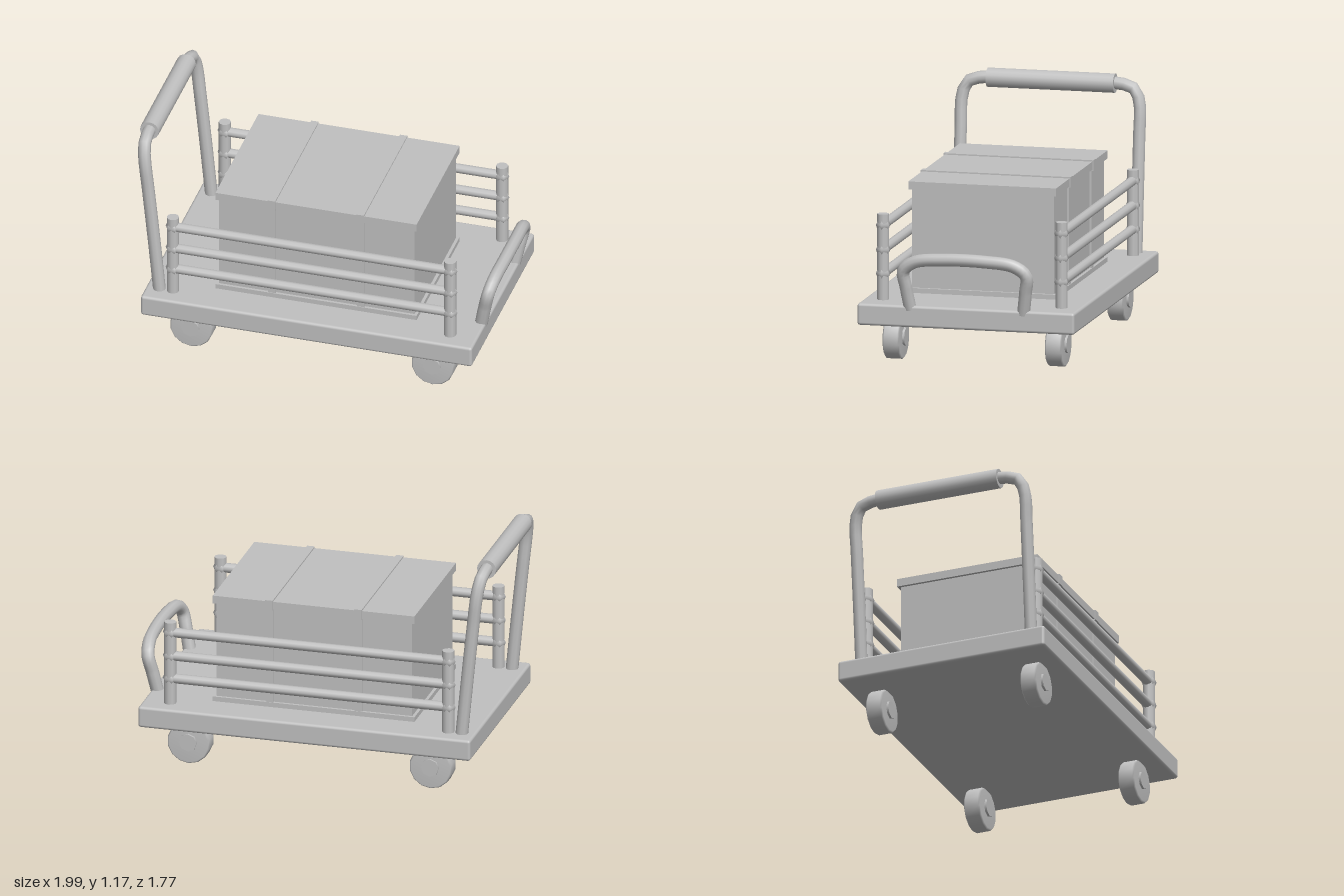
import * as THREE from 'three';
import { RoundedBoxGeometry } from 'three/addons/geometries/RoundedBoxGeometry.js';

export function createModel() {
  const model = new THREE.Group();
  model.name = 'platformTrolley';
  const cart = new THREE.Group();
  cart.name = 'cart';
  cart.rotation.y = THREE.MathUtils.degToRad(-29.5);
  model.add(cart);

  const grey = new THREE.MeshStandardMaterial({ color: 0xc0c0c0 });
  grey.name = 'plain grey';

  const add = (name, geometry, x = 0, y = 0, z = 0) => {
    const mesh = new THREE.Mesh(geometry, grey);
    mesh.name = name;
    mesh.position.set(x, y, z);
    cart.add(mesh);
    return mesh;
  };
  const box = (name, w, y0, y1, d, x = 0) =>
    add(name, new THREE.BoxGeometry(w, y1 - y0, d), x, (y0 + y1) / 2, 0);

  // Half of a bent pipe is given; it is mirrored across z to close the hoop
  const hoop = (name, half, radius) => {
    const pts = half.map(p => new THREE.Vector3(...p));
    const mirrored = pts.slice().reverse().map(p => new THREE.Vector3(p.x, p.y, -p.z));
    const curve = new THREE.CatmullRomCurve3([...pts, ...mirrored], false, 'centripetal');
    add(name, new THREE.TubeGeometry(curve, 48, radius, 10));
  };

  // Deck
  add('deck', new RoundedBoxGeometry(1.68, 0.108, 1.09, 2, 0.014), 0, 0.255, 0);

  // Wheels with hubs showing on both faces
  const tread = [[0, -0.042], [0.1, -0.042], [0.108, -0.034], [0.108, 0.034], [0.1, 0.042], [0, 0.042]];
  const wheelGeo = new THREE.LatheGeometry(tread.map(p => new THREE.Vector2(...p)), 14);
  const hubGeo = new THREE.CylinderGeometry(0.045, 0.045, 0.106, 8);
  for (const x of [-0.612, 0.612]) {
    for (const z of [-0.4075, 0.4075]) {
      add('wheel', wheelGeo, x, 0.108, z).rotation.x = Math.PI / 2;
      add('wheelHub', hubGeo, x, 0.112, z).rotation.x = Math.PI / 2;
    }
  }

  // Side fences: posts, rails and joint collars
  const postGeo = new THREE.CylinderGeometry(0.03, 0.03, 0.44, 10);
  const railGeo = new THREE.CylinderGeometry(0.024, 0.024, 1.42, 10);
  const jointGeo = new THREE.SphereGeometry(0.037, 6, 4);
  for (const z of [-0.448, 0.448]) {
    for (const x of [-0.703, 0.703]) add('fencePost', postGeo, x, 0.513, z);
    for (const y of [0.438, 0.556, 0.678]) {
      add('fenceRail', railGeo, 0, y, z).rotation.z = Math.PI / 2;
      for (const x of [-0.703, 0.703]) add('railJoint', jointGeo, x, y, z);
    }
  }

  // Push handle and grip
  hoop('pushHandle', [
    [-0.77, 0.29, 0.448], [-0.8, 0.6, 0.448], [-0.828, 0.87, 0.448], [-0.846, 1.03, 0.446],
    [-0.856, 1.1, 0.42], [-0.86, 1.125, 0.35], [-0.86, 1.125, 0.2],
  ], 0.031);
  add('handleGrip', new THREE.CylinderGeometry(0.048, 0.048, 0.64, 16), -0.86, 1.125, 0).rotation.x = Math.PI / 2;

  // Front hoop
  hoop('frontHoop', [
    [0.812, 0.29, 0.284], [0.835, 0.4, 0.3], [0.855, 0.485, 0.308], [0.866, 0.532, 0.25], [0.874, 0.551, 0.1],
  ], 0.032);

  // Crate with plinth, lid and two straps
  box('crateBody', 0.99, 0.3, 0.83, 0.714);
  box('cratePlinth', 1.02, 0.3, 0.333, 0.742);
  box('crateLid', 1.02, 0.82, 0.86, 0.742);
  for (const x of [-0.225, 0.225]) {
    box('crateStrap', 0.038, 0.3, 0.83, 0.736, x);
    box('lidStrap', 0.038, 0.815, 0.867, 0.752, x);
  }
  return model;
}
